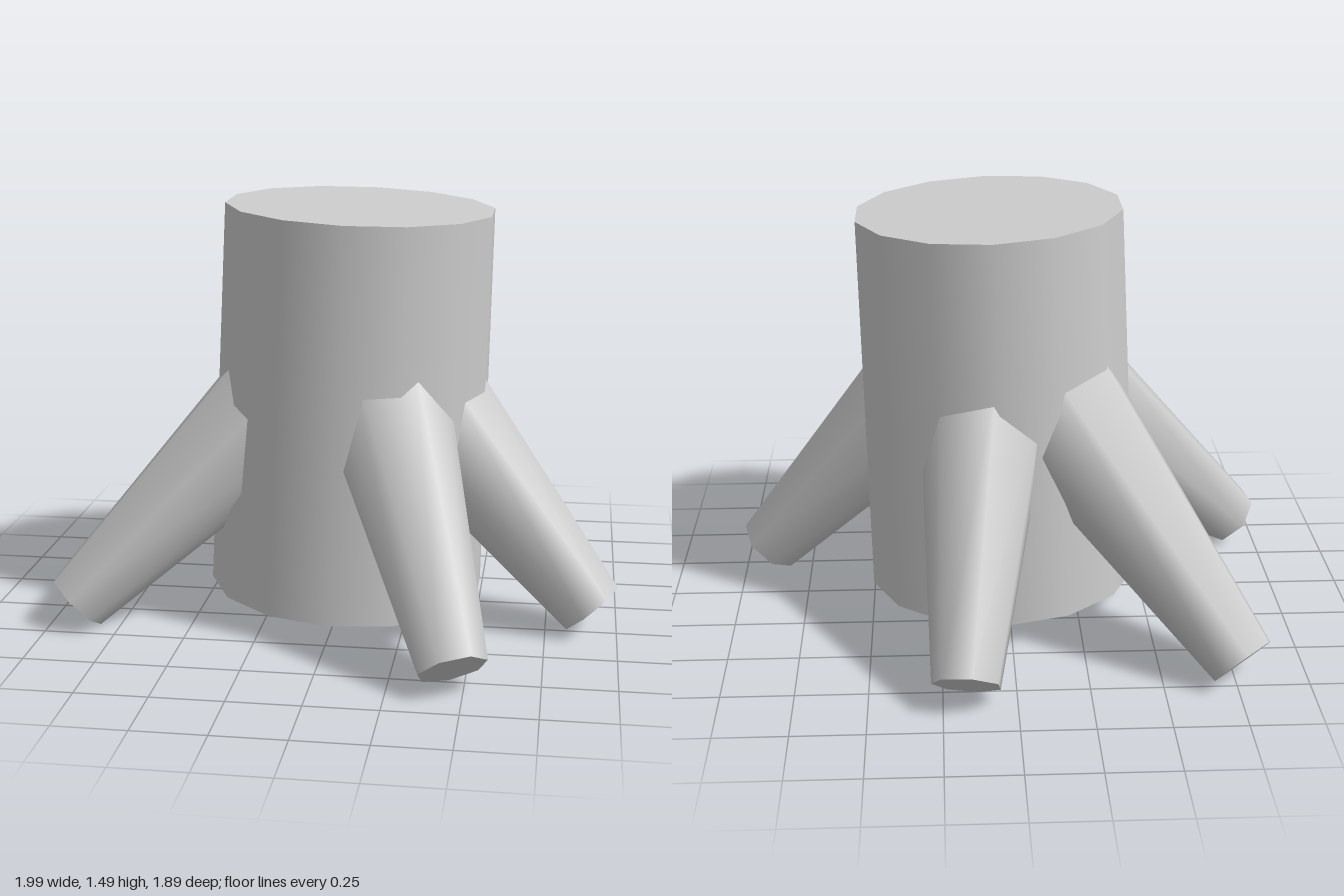
import * as THREE from 'three';

const V = (x, y, z) => new THREE.Vector3(x, y, z);

// Capped, tapered cylinder from a to b; one vertex column faces the side direction
function taper(name, a, b, rA, rB, sides, side, material) {
  const y = b.clone().sub(a);
  const length = y.length();
  y.normalize();
  const x = y.clone().cross(side).normalize();
  const z = x.clone().cross(y);
  const geometry = new THREE.CylinderGeometry(rB, rA, length, sides);
  const mesh = new THREE.Mesh(geometry, material);
  mesh.name = name;
  mesh.quaternion.setFromRotationMatrix(new THREE.Matrix4().makeBasis(x, y, z));
  mesh.position.copy(a).add(b).multiplyScalar(0.5);
  return mesh;
}

export function createModel() {
  const group = new THREE.Group();
  group.name = 'treeStump';
  const grey = new THREE.MeshStandardMaterial({ color: 0xcccccc });
  grey.name = 'stump grey';

  // Slightly leaning trunk
  group.add(taper('trunk', V(0.015, 0.1, 0.034), V(0.065, 1.48, 0.045), 0.497, 0.475, 14, V(0, 0, 1), grey));

  // Roots: tip centre x, z and downward slope in degrees
  const roots = [
    ['leftRoot', 0.91, 0.24, 48],
    ['frontRoot', 0.465, 0.85, 49],
    ['rightRoot', -0.905, 0.42, 43],
    ['backRightRoot', -0.77, -0.734, 41.5],
    ['backRoot', 0.17, -0.855, 49],
  ];
  const centre = V(0.05, 0, 0.04);
  const tipRadius = 0.12, inset = 0.2;
  for (const [name, x, z, slope] of roots) {
    const tip = V(x, 0.1, z);
    const out = V(x - centre.x, 0, z - centre.z);
    const run = out.length() - inset;
    out.normalize();
    const angle = THREE.MathUtils.degToRad(slope);
    const base = centre.clone().addScaledVector(out, inset);
    base.y = tip.y + run * Math.tan(angle);
    const baseRadius = tipRadius + 0.115 * run / Math.cos(angle);
    group.add(taper(name, base, tip, baseRadius, tipRadius, 7, V(-out.z, 0, out.x), grey));
  }
  return group;
}
